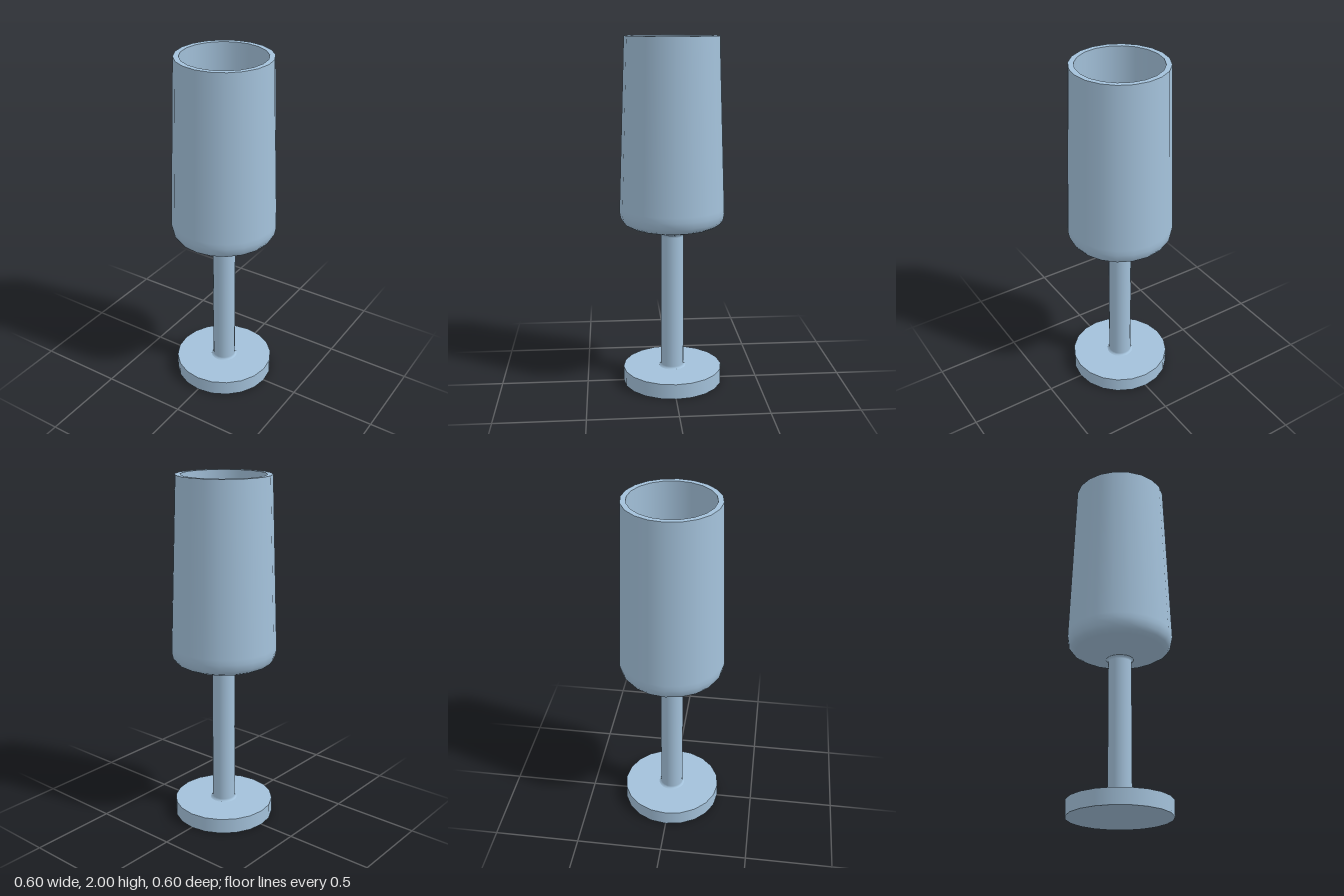
import * as THREE from 'three';

const SIDES = 20;

export function createModel() {
  const model = new THREE.Group();
  model.name = 'goblet';
  const paleBlue = new THREE.MeshStandardMaterial({ color: 0xa3c1da });
  paleBlue.name = 'paleBlue';

  // Each profile is one smooth run; separate runs meet in sharp edges.
  const turn = (parent, name, profile) => {
    const points = profile.map(([r, y]) => new THREE.Vector2(r, y));
    const mesh = new THREE.Mesh(new THREE.LatheGeometry(points, SIDES), paleBlue);
    mesh.name = name;
    parent.add(mesh);
  };
  const part = (name) => {
    const group = new THREE.Group();
    group.name = name;
    model.add(group);
    return group;
  };

  // Flat disc foot
  const foot = part('foot');
  turn(foot, 'footUnderside', [[0, 0], [0.288, 0]]);
  turn(foot, 'footRim', [[0.288, 0], [0.288, 0.088]]);
  turn(foot, 'footTop', [[0.288, 0.088], [0.078, 0.088]]);

  // Slim stem with a small flare at both ends
  const stem = part('stem');
  turn(stem, 'stemShaft', [
    [0.078, 0.088], [0.07, 0.092], [0.066, 0.102],
    [0.066, 0.88], [0.069, 0.891], [0.078, 0.897],
  ]);

  // Tapered cup: shallow cone below, rounded shoulder, walls narrowing upward
  const cup = part('cup');
  turn(cup, 'cupOutside', [
    [0.078, 0.897], [0.25, 0.947], [0.277, 0.962], [0.293, 0.985], [0.3, 1.02],
    [0.299, 1.05], [0.264, 2],
  ]);
  turn(cup, 'cupLip', [[0.264, 2], [0.234, 2]]);
  turn(cup, 'cupInside', [[0.234, 2], [0.268, 1.03]]);
  turn(cup, 'cupFloor', [[0.268, 1.03], [0.25, 0.995], [0.07, 0.98], [0, 0.98]]);

  return model;
}
